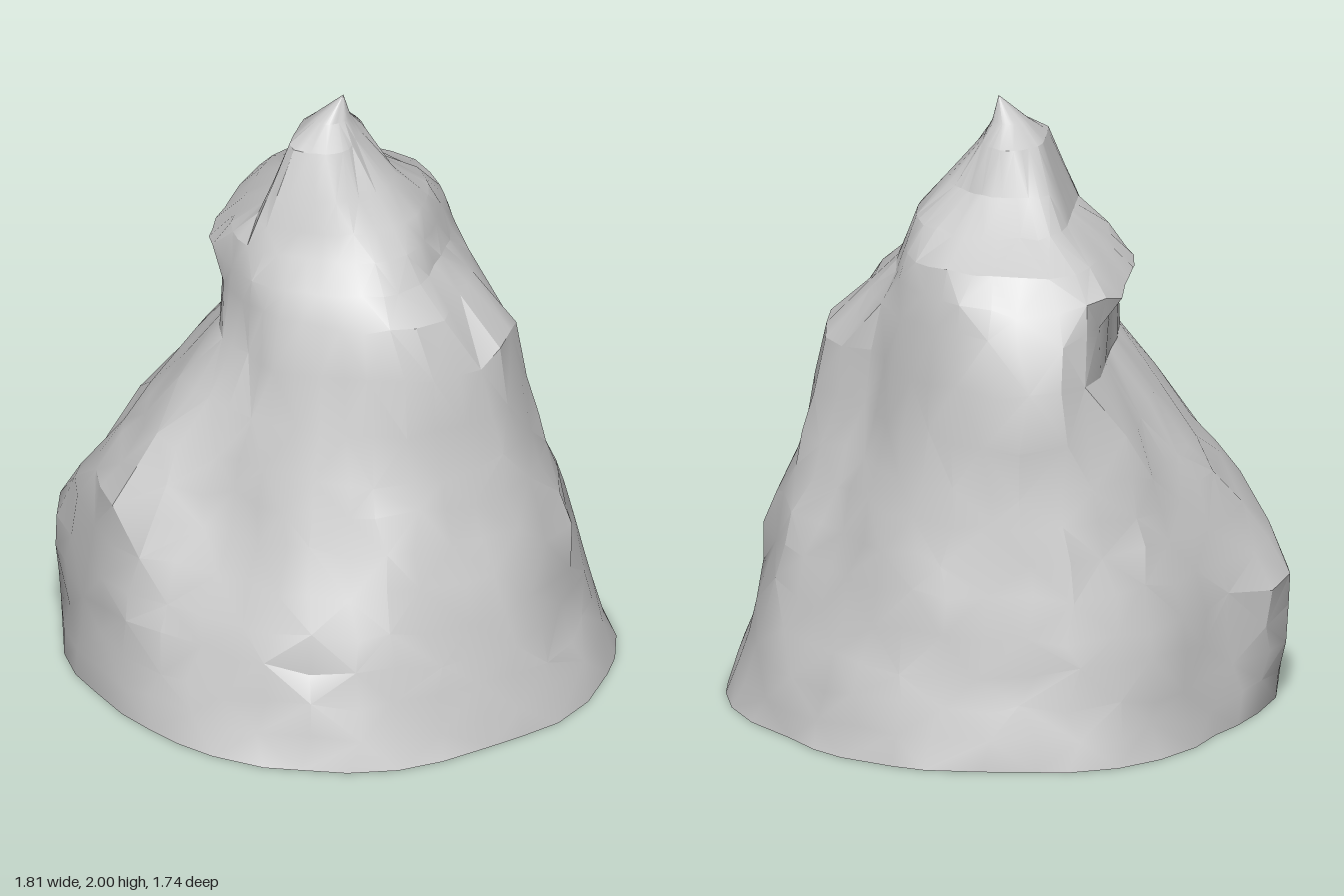
import * as THREE from 'three';
import { toCreasedNormals } from 'three/addons/utils/BufferGeometryUtils.js';

// Cross-sections: height, then reach every 45 degrees from +x through +z, -x and -z
const SECTIONS = [
  [0.00, 0.91, 0.87, 0.87, 0.83, 0.86, 0.87, 0.87, 0.88],
  [0.20, 0.83, 0.82, 0.80, 0.82, 0.89, 0.84, 0.82, 0.83],
  [0.42, 0.78, 0.77, 0.73, 0.81, 0.92, 0.81, 0.79, 0.75],
  [0.66, 0.73, 0.69, 0.61, 0.79, 0.75, 0.74, 0.74, 0.68],
  [0.88, 0.67, 0.62, 0.53, 0.63, 0.59, 0.68, 0.70, 0.61],
  [1.03, 0.63, 0.59, 0.48, 0.50, 0.47, 0.66, 0.70, 0.57],
  [1.20, 0.60, 0.57, 0.44, 0.39, 0.34, 0.63, 0.68, 0.53],
  [1.36, 0.45, 0.52, 0.39, 0.36, 0.34, 0.60, 0.63, 0.49],
  [1.45, 0.36, 0.40, 0.34, 0.35, 0.40, 0.57, 0.59, 0.47],
  [1.54, 0.33, 0.34, 0.28, 0.33, 0.31, 0.49, 0.50, 0.43],
  [1.62, 0.30, 0.27, 0.25, 0.31, 0.20, 0.33, 0.32, 0.34],
  [1.72, 0.21, 0.21, 0.22, 0.26, 0.16, 0.22, 0.20, 0.19],
  [1.86, 0.09, 0.14, 0.16, 0.18, 0.11, 0.13, 0.15, 0.12],
  [1.92, 0.06, 0.06, 0.07, 0.06, 0.05, 0.05, 0.06, 0.06],
];

// Gullies between the buttresses: angle, height, angular spread, vertical spread, depth
const GULLIES = [
  [114, 0.70, 15, 0.55, 0.13],
  [158, 0.50, 12, 0.40, 0.04],
  [204, 0.30, 14, 0.70, 0.10],
  [326, 1.05, 14, 0.40, 0.12],
  [0, 0.58, 8, 0.16, -0.06], // small outcrop
];
const SIDES = 36;
const ROUNDING = 12; // higher gives harder corners

// Seeded generator for the rough rock surface, from -1 to 1
function makeNoise(seed) {
  return () => {
    seed = (seed * 16807) % 2147483647;
    return (seed / 2147483647) * 2 - 1;
  };
}

// Outline of the rounded octagon bounded by the eight reaches
function radiusAt(section, angle) {
  let sum = 0;
  for (let k = 0; k < 8; k++) {
    const c = Math.cos(angle - (k * Math.PI) / 4);
    if (c > 0) sum += (c / section[k + 1]) ** ROUNDING;
  }
  return sum ** (-1 / ROUNDING);
}

// Share of the radius left after cutting the gullies
function gullyFactor(angle, y) {
  let factor = 1;
  for (const [centre, height, spread, rise, depth] of GULLIES) {
    let d = THREE.MathUtils.radToDeg(angle) - centre;
    d -= 360 * Math.round(d / 360);
    factor -= depth * Math.exp(-((d / spread) ** 2) - (((y - height) / rise) ** 2));
  }
  return factor;
}

function rockGeometry() {
  const noise = makeNoise(4711);

  // Add an in-between ring to the taller bands
  const rings = [];
  SECTIONS.forEach((s, i) => {
    rings.push(s);
    const next = SECTIONS[i + 1];
    if (next && next[0] - s[0] > 0.18) rings.push(s.map((v, k) => (v + next[k]) / 2));
  });

  const positions = [], index = [];
  rings.forEach((ring, j) => {
    const y = ring[0];
    for (let i = 0; i < SIDES; i++) {
      const angle = ((i + noise() * 0.2) / SIDES) * Math.PI * 2;
      let r = radiusAt(ring, angle) * gullyFactor(angle, y);
      const rough = Math.min(1, r / 0.6) ** 2;
      r += noise() * 0.01 * rough;
      const lift = j === 0 ? 0 : noise() * 0.022 * rough;
      positions.push(r * Math.cos(angle), y + lift, r * Math.sin(angle));
    }
  });

  // Walls, with the diagonals alternating for irregular facets
  for (let j = 0; j < rings.length - 1; j++) {
    for (let i = 0; i < SIDES; i++) {
      const n = (i + 1) % SIDES;
      const a = j * SIDES + i, b = j * SIDES + n;
      const c = a + SIDES, d = b + SIDES;
      if ((i + j) % 2) index.push(a, c, b, b, c, d);
      else index.push(a, c, d, a, d, b);
    }
  }

  // Pointed summit
  const apex = positions.length / 3;
  positions.push(0.04, 2, 0);
  for (let i = 0; i < SIDES; i++) {
    const top = apex - SIDES;
    index.push(top + i, apex, top + ((i + 1) % SIDES));
  }

  const geometry = new THREE.BufferGeometry();
  geometry.setAttribute('position', new THREE.Float32BufferAttribute(positions, 3));
  geometry.setIndex(index);
  return toCreasedNormals(geometry, 0.42);
}

export function createModel() {
  const group = new THREE.Group();
  group.name = 'rockSpire';
  // Hollow rock shell, open underneath
  const rock = new THREE.Mesh(
    rockGeometry(),
    new THREE.MeshStandardMaterial({ color: 0xcccccc, side: THREE.DoubleSide })
  );
  rock.name = 'rockShell';
  group.add(rock);
  return group;
}
